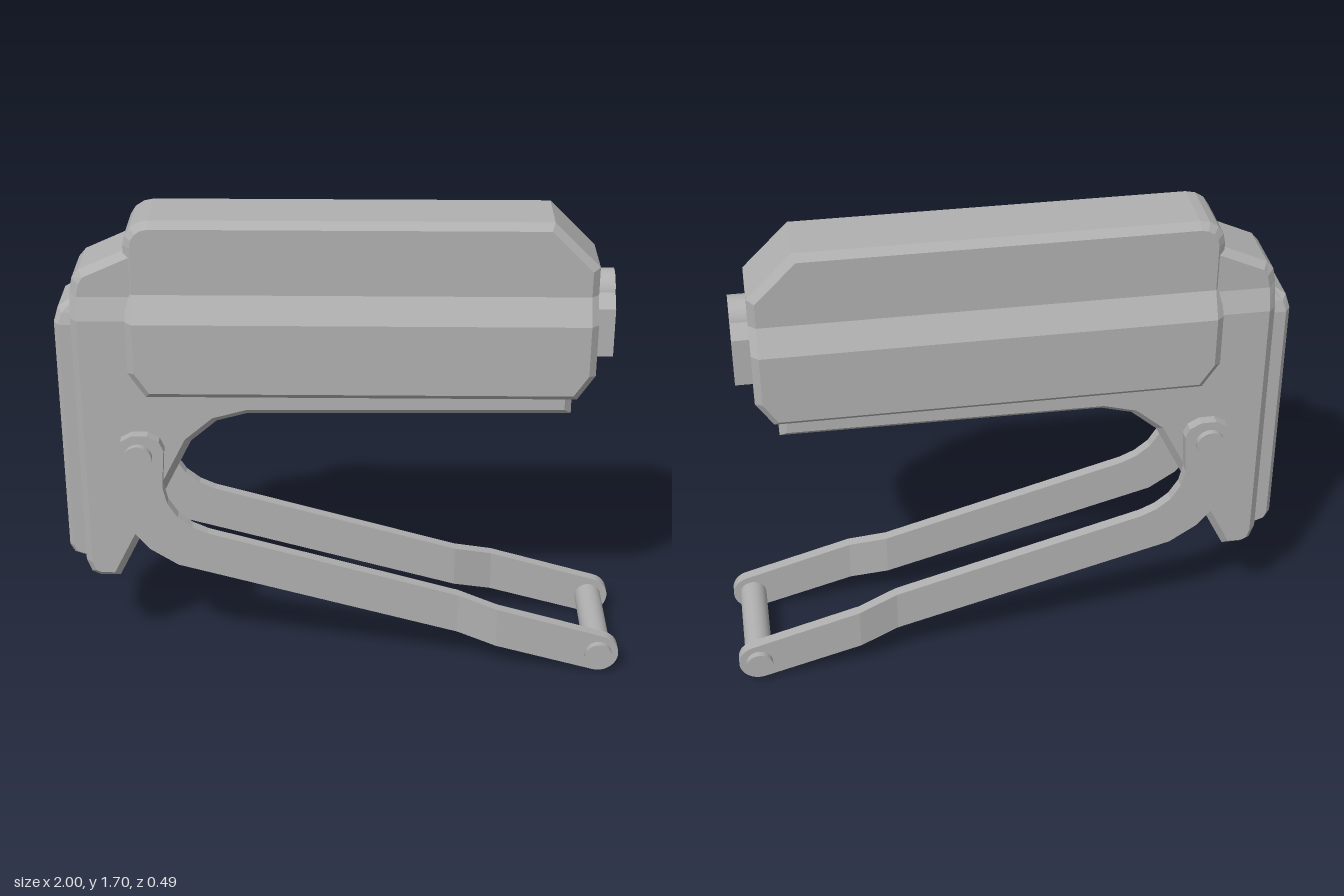
import * as THREE from 'three';

const grey = new THREE.MeshStandardMaterial({ color: 0xb0b0b0 });
grey.name = 'grey';

function add(group, name, geometry) {
  const mesh = new THREE.Mesh(geometry, grey);
  mesh.name = name;
  group.add(mesh);
  return mesh;
}

// Chamfered body stacked from rows [y, left, right, insetY, insetLeft, insetRight, halfWidth].
// The inset outline lies at the full half width, the outer outline one bevel further in.
function bevelledBody(rows, bevel) {
  const pos = [];
  const quad = (a, b, c, d) => pos.push(...a, ...b, ...c, ...a, ...c, ...d);
  const rings = rows.map(([y, L, R, yi, l, r, w]) => {
    const n = w - bevel;
    return [[l, yi, w], [r, yi, w], [R, y, n], [R, y, -n],
      [r, yi, -w], [l, yi, -w], [L, y, -n], [L, y, n]];
  });
  for (let k = 0; k + 1 < rings.length; k++) {
    const a = rings[k], b = rings[k + 1];
    for (let i = 0; i < 8; i++) {
      const j = (i + 1) % 8;
      quad(a[i], a[j], b[j], b[i]);
    }
  }
  // closing faces and their bevels, mirrored for the top
  const caps = [[7, 2, 1, 0], [3, 6, 5, 4], [7, 6, 3, 2]];
  const last = rings[rings.length - 1];
  for (const c of caps) {
    quad(...c.map(i => rings[0][i]));
    quad(...[...c].reverse().map(i => last[i]));
  }
  const g = new THREE.BufferGeometry();
  g.setAttribute('position', new THREE.Float32BufferAttribute(pos, 3));
  g.computeVertexNormals();
  return g;
}

function polygon(points) {
  return new THREE.Shape(points.map(([x, y]) => new THREE.Vector2(x, y)));
}

// Flat arm piece that steps outwards between x = 0.41 and x = 0.55
function armPiece(shape) {
  const g = new THREE.ExtrudeGeometry(shape, { depth: 0.04, bevelEnabled: false, curveSegments: 10 });
  const p = g.attributes.position;
  for (let i = 0; i < p.count; i++) {
    const t = THREE.MathUtils.clamp((p.getX(i) - 0.41) / 0.14, 0, 1);
    p.setZ(i, p.getZ(i) + 0.148 + 0.034 * t);
  }
  g.computeVertexNormals();
  return g;
}

function pin(group, name, x, y, radius, length) {
  const g = new THREE.CylinderGeometry(radius, radius, length, 28);
  g.rotateX(Math.PI / 2);
  add(group, name, g).position.set(x, y, 0);
}

export function createModel() {
  const model = new THREE.Group();
  model.name = 'foldingUnit';

  // Large chamfered housing
  add(model, 'housing', bevelledBody([
    [1.07, -0.69, 0.80, 1.092, -0.675, 0.785, 0.18],
    [1.16, -0.75, 0.86, 1.167, -0.725, 0.835, 0.18],
    [1.35, -0.75, 0.86, 1.35, -0.725, 0.835, 0.18],
    [1.44, -0.75, 0.86, 1.44, -0.725, 0.835, 0.13],
    [1.54, -0.75, 0.86, 1.53, -0.725, 0.835, 0.13],
    [1.61, -0.75, 0.79, 1.61, -0.725, 0.755, 0.13],
    [1.645, -0.743, 0.755, 1.635, -0.72, 0.73, 0.13],
    [1.674, -0.724, 0.726, 1.656, -0.706, 0.709, 0.13],
    [1.693, -0.694, 0.707, 1.67, -0.685, 0.695, 0.13],
    [1.70, -0.66, 0.70, 1.675, -0.66, 0.69, 0.13],
  ], 0.023));

  // Frame with the rear leg, curved inner corner and lower rail
  add(model, 'frame', bevelledBody([
    [0.335, -0.89, -0.82, 0.358, -0.885, -0.836, 0.15],
    [0.35, -0.922, -0.812, 0.368, -0.905, -0.831, 0.15],
    [0.40, -0.94, -0.787, 0.40, -0.915, -0.815, 0.15],
    [0.885, -0.94, -0.543, 0.90, -0.915, -0.563, 0.15],
    [0.965, -0.94, -0.45, 0.985, -0.915, -0.464, 0.15],
    [0.995, -0.94, -0.34, 1.018, -0.915, -0.345, 0.15],
    [1.003, -0.94, 0.785, 1.026, -0.915, 0.76, 0.15],
    [1.35, -0.94, 0.785, 1.35, -0.915, 0.76, 0.15],
    [1.44, -0.94, 0.785, 1.43, -0.915, 0.76, 0.125],
    [1.49, -0.93, 0.78, 1.475, -0.905, 0.76, 0.125],
    [1.52, -0.905, 0.75, 1.50, -0.89, 0.73, 0.125],
    [1.595, -0.74, 0.70, 1.57, -0.735, 0.68, 0.125],
    [1.60, -0.70, 0.69, 1.58, -0.70, 0.67, 0.125],
  ], 0.025));

  // Butt plate on the rear
  add(model, 'rearPlate', bevelledBody([
    [0.405, -0.945, -0.9, 0.42, -0.945, -0.9, 0.122],
    [0.418, -0.983, -0.9, 0.43, -0.972, -0.9, 0.122],
    [0.45, -1.0, -0.9, 0.455, -0.983, -0.9, 0.122],
    [1.33, -1.0, -0.9, 1.325, -0.983, -0.9, 0.122],
    [1.38, -0.985, -0.9, 1.365, -0.97, -0.9, 0.112],
    [1.41, -0.94, -0.9, 1.395, -0.94, -0.9, 0.1],
  ], 0.02));

  // Arched block on the front end, drawn across z and pushed along x
  const arch = polygon([[-0.115, 1.215], [0.115, 1.215], [0.115, 1.39], [0.075, 1.435]]);
  arch.absarc(0, 1.418, 0.073, 0.23, Math.PI - 0.23, false);
  arch.lineTo(-0.115, 1.39);
  const nose = new THREE.ExtrudeGeometry(arch, { depth: 0.12, bevelEnabled: false, curveSegments: 16 });
  nose.rotateY(Math.PI / 2);
  nose.translate(0.80, 0, 0);
  add(model, 'noseBlock', nose);

  // Swing arm outlines: curved root, cranked middle and rounded tip
  const top = x => 0.545 - 0.2798 * (x + 0.49);
  const bottom = x => 0.415 - 0.2733 * (x + 0.60);
  const root = polygon([
    [-0.60, 0.415], [0.41, bottom(0.41)], [0.41, top(0.41)], [-0.49, 0.545],
    [-0.545, 0.57], [-0.595, 0.61], [-0.63, 0.665], [-0.645, 0.73], [-0.64, 0.80], [-0.635, 0.875],
    [-0.65, 0.91], [-0.69, 0.932], [-0.745, 0.932], [-0.785, 0.91], [-0.80, 0.87],
    [-0.81, 0.77], [-0.805, 0.69], [-0.785, 0.61], [-0.75, 0.54], [-0.70, 0.48],
  ]);
  const crank = polygon([[0.41, bottom(0.41)], [0.55, bottom(0.55)], [0.55, top(0.55)], [0.41, top(0.41)]]);
  const tip = polygon([[0.55, top(0.55)], [0.55, bottom(0.55)]]);
  tip.absarc(0.927, 0.072, 0.072, -1.84, 1.30, false);

  for (const side of ['left', 'right']) {
    const arm = new THREE.Group();
    arm.name = side + 'SwingArm';
    add(arm, 'armRoot', armPiece(root));
    add(arm, 'armCrank', armPiece(crank));
    add(arm, 'armTip', armPiece(tip));
    if (side === 'right') arm.scale.z = -1;
    model.add(arm);
  }

  // Hinge pin and the cross rod joining the arm tips
  pin(model, 'hingePin', -0.725, 0.85, 0.05, 0.42);
  pin(model, 'crossRod', 0.925, 0.072, 0.049, 0.49);

  return model;
}
